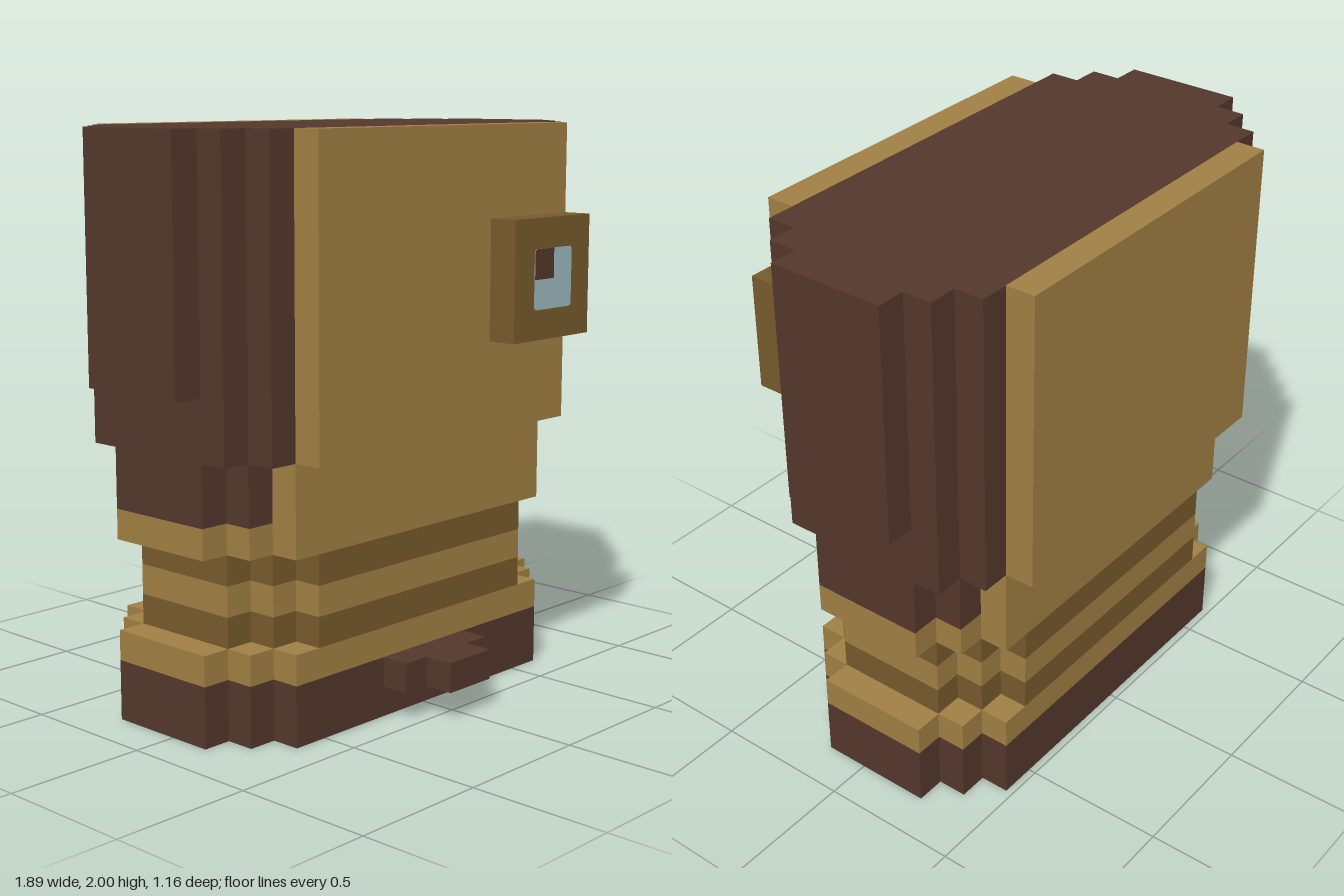
import * as THREE from 'three';

const U = 2 / 19; // one block
const MID = -0.5; // z centre of the body, in blocks

function material(name, color) {
  const m = new THREE.MeshStandardMaterial({ color });
  m.name = name;
  return m;
}

export function createModel() {
  const model = new THREE.Group();
  model.name = 'blockFigure';
  const tan = material('tan', 0x9f7f43);
  const darkTan = material('darkTan', 0x755a2c);
  const brown = material('brown', 0x53372b);
  const paleBlue = material('paleBlue', 0x9bb8bd);

  function add(name, geometry, mat) {
    const mesh = new THREE.Mesh(geometry, mat);
    mesh.name = name;
    model.add(mesh);
    return mesh;
  }

  // Box given by its limits in blocks
  function box(name, mat, x0, x1, y0, y1, z0, z1) {
    const g = new THREE.BoxGeometry((x1 - x0) * U, (y1 - y0) * U, (z1 - z0) * U);
    g.translate((x0 + x1) / 2 * U, (y0 + y1) / 2 * U, (z0 + z1) / 2 * U);
    return add(name, g, mat);
  }

  // Slab with stair-stepped corners; steps run from narrow and deep to wide and shallow
  function slab(name, mat, steps, y0, y1) {
    const corner = [];
    steps.forEach(([hx, hz], i) => {
      if (i > 0) corner.push([steps[i - 1][0], hz]);
      corner.push([hx, hz]);
    });
    const back = [...corner].reverse();
    const outline = [
      ...corner,
      ...back.map(([x, z]) => [x, -z]),
      ...corner.map(([x, z]) => [-x, -z]),
      ...back.map(([x, z]) => [-x, z]),
    ].map(([x, z]) => new THREE.Vector2(x * U, z * U));
    const g = new THREE.ExtrudeGeometry(new THREE.Shape(outline), { depth: (y1 - y0) * U, bevelEnabled: false });
    g.rotateX(-Math.PI / 2);
    g.translate(0, y0 * U, MID * U);
    return add(name, g, mat);
  }

  // Base, banded waist and chest
  const body = [[6, 4], [7, 3], [8, 2]];
  const waist = [[5, 4], [6, 3], [7, 2]];
  slab('base', brown, body, 0, 2);
  slab('hipBand', tan, body, 2, 3);
  slab('lowerWaistStripe', darkTan, waist, 3, 4);
  slab('waist', tan, waist, 4, 5);
  slab('upperWaistStripe', darkTan, waist, 5, 6);
  slab('chestBand', tan, body, 6, 7);
  box('neck', tan, -6, 6, 7, 9, MID - 4, MID + 4);

  // Head shell with front and back panels
  slab('headShell', brown, [[7, 4], [8, 3]], 9, 19);
  box('facePanel', tan, -6, 6, 9, 19, MID + 4, MID + 5);
  box('backPanel', tan, -6, 6, 9, 19, MID - 5, MID - 4);

  // Side pieces
  for (const [side, s] of [['left', 1], ['right', -1]]) {
    const sideBox = (name, a, b, y0, y1, hz) =>
      box(side + name, brown, Math.min(s * a, s * b), Math.max(s * a, s * b), y0, y1, MID - hz, MID + hz);
    sideBox('InnerCollar', 6, 7, 7, 9, 3);
    sideBox('OuterCollar', 7, 8, 7, 9, 2);
    sideBox('EarPad', 8, 9, 11, 19, 2);
  }

  // Buckle on the base
  box('buckle', brown, -2, 2, 1, 2, 3.5, 4.5);
  box('buckleTip', brown, -1, 1, 1, 2, 4.5, 5.5);

  // Eye: raised socket, rounded plate and corner pupil
  box('eyeSocket', darkTan, 2, 6, 12, 16, 4.5, 5.5);
  const r = 0.15;
  const plate = new THREE.Shape();
  plate.moveTo(3 + r, 13).lineTo(5 - r, 13).quadraticCurveTo(5, 13, 5, 13 + r)
    .lineTo(5, 15 - r).quadraticCurveTo(5, 15, 5 - r, 15)
    .lineTo(3 + r, 15).quadraticCurveTo(3, 15, 3, 15 - r)
    .lineTo(3, 13 + r).quadraticCurveTo(3, 13, 3 + r, 13);
  const pupil = new THREE.Shape();
  pupil.moveTo(3, 14).lineTo(4, 14).lineTo(4, 15).lineTo(3 + r, 15)
    .quadraticCurveTo(3, 15, 3, 15 - r).lineTo(3, 14);
  [['eye', plate, paleBlue, 0.003], ['pupil', pupil, brown, 0.006]].forEach(([name, shape, mat, lift]) => {
    const g = new THREE.ShapeGeometry(shape);
    g.scale(U, U, 1);
    g.translate(0, 0, 5.5 * U + lift);
    add(name, g, mat);
  });

  return model;
}
